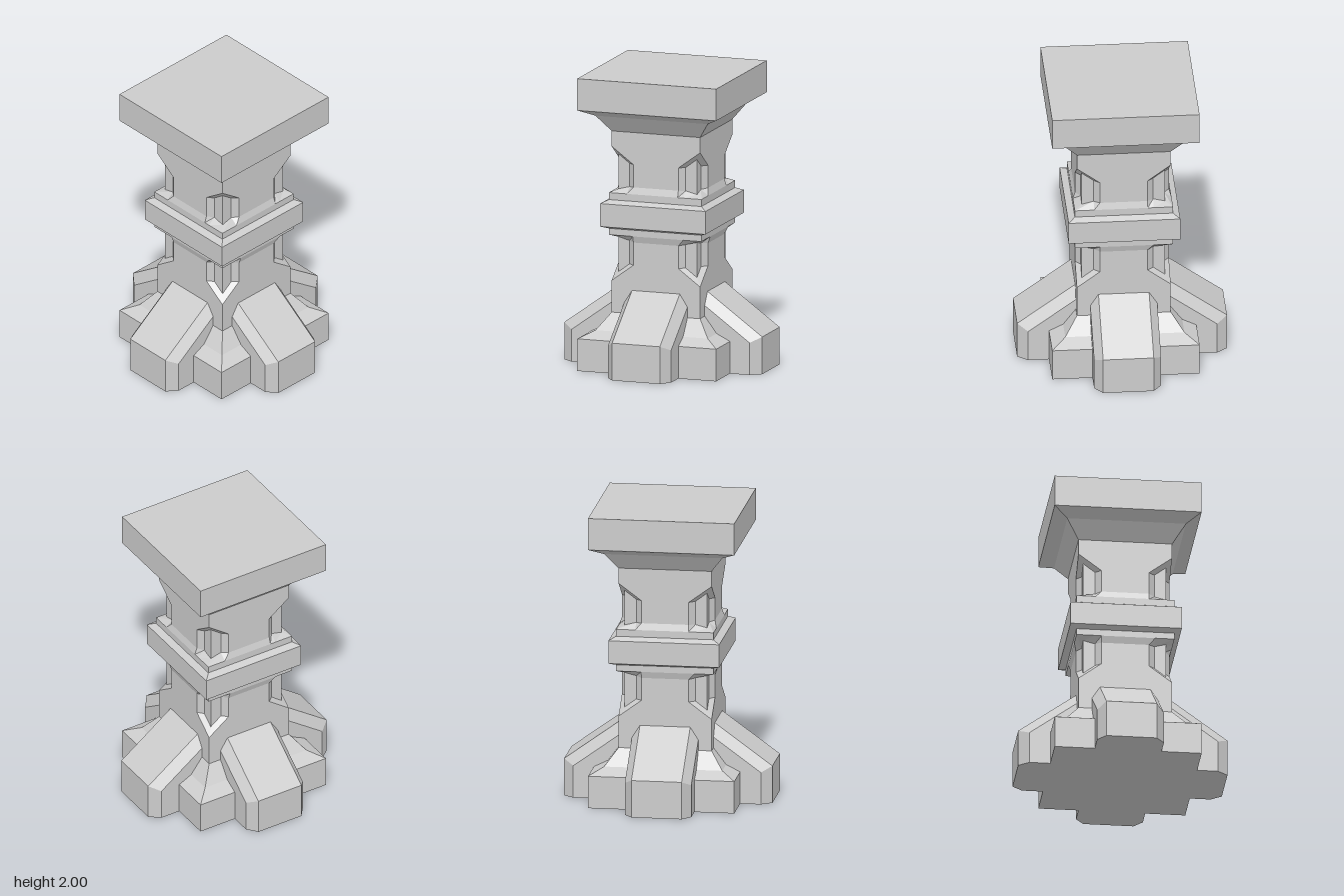
import * as THREE from 'three';
import { ConvexGeometry } from 'three/addons/geometries/ConvexGeometry.js';

const stone = new THREE.MeshStandardMaterial({ color: 0xcccccc, flatShading: true });

function addMesh(parent, geometry, name) {
  const mesh = new THREE.Mesh(geometry, stone);
  mesh.name = name;
  parent.add(mesh);
  return mesh;
}

// Square moulding from a profile of [half width, height], bottom to top
function squareTier(profile) {
  const points = profile.map(([half, y]) => new THREE.Vector2(half * Math.SQRT2, y));
  const geometry = new THREE.LatheGeometry(points, 4).rotateY(Math.PI / 4).toNonIndexed();
  geometry.computeVertexNormals();
  return geometry;
}

// One ring of the shaft: three points [x, y, z] describe half a corner,
// mirrored over the diagonal and turned to all four corners
function shaftRing(half) {
  const mirrored = half.map(([x, y, z]) => [z, y, x]);
  const corner = [...mirrored, ...half.slice(0, 2).reverse()];
  const ring = [];
  for (let q = 0; q < 4; q++) {
    for (const [x, y, z] of corner) {
      const p = new THREE.Vector3(x, y, z);
      for (let i = 0; i < q; i++) p.set(p.z, p.y, -p.x);
      ring.push(p);
    }
  }
  return ring;
}

function loft(rings) {
  const points = [];
  const triangle = (a, b, c) => {
    const area = new THREE.Triangle(a, b, c).getArea();
    if (area > 1e-7) points.push(a, b, c);
  };
  for (let r = 0; r < rings.length - 1; r++) {
    const low = rings[r], high = rings[r + 1], n = low.length;
    for (let i = 0; i < n; i++) {
      const j = (i + 1) % n;
      triangle(low[i], low[j], high[j]);
      triangle(low[i], high[j], high[i]);
    }
  }
  const geometry = new THREE.BufferGeometry().setFromPoints(points);
  geometry.computeVertexNormals();
  return geometry;
}

// Shaft with a pointed pocket cut in each corner, above and below the collar
function shaftGeometry() {
  const plain = (h, y) => [[h, y, 0.16], [h, y, 0.2], [h, y, h]];
  const upper = [
    plain(0.33, 1.155),
    plain(0.33, 1.2),
    [[0.315, 1.245, 0.16], [0.28, 1.24, 0.2], [0.28, 1.22, 0.28]],
    [[0.315, 1.4, 0.16], [0.28, 1.4, 0.2], [0.28, 1.46, 0.28]],
    [[0.315, 1.4, 0.16], [0.315, 1.43, 0.2], [0.315, 1.515, 0.315]],
  ];
  const lower = upper.map((ring) => ring.map(([x, y, z]) => [x, 2.112 - y, z])).reverse();
  const halves = [plain(0.315, 0.3), ...lower, ...upper, plain(0.315, 1.63)];
  return loft(halves.map(shaftRing));
}

// Sloping buttress with chamfered edges, facing +z
function buttressGeometry() {
  const points = [];
  const inner = 0.25, slope = 0.727;
  for (const s of [-1, 1]) {
    const add = (x, y, z) => points.push(new THREE.Vector3(s * x, y, z));
    add(0.17, 0, 0.705);
    add(0.17, 0.255, 0.705);
    add(0.17, 0.255 + slope * (0.705 - inner), inner);
    add(0.225, 0, 0.635);
    add(0.225, 0.22, 0.635);
    add(0.225, 0.22 + slope * (0.635 - inner), inner);
    add(0.225, 0, inner);
  }
  return new ConvexGeometry(points);
}

export function createModel() {
  const model = new THREE.Group();
  model.name = 'stonePillar';

  addMesh(model, squareTier([[0, 0], [0.495, 0], [0.495, 0.22], [0.4, 0.267], [0.315, 0.38]]), 'plinth');
  addMesh(model, shaftGeometry(), 'shaft');
  addMesh(model, squareTier([[0.33, 0.955], [0.375, 0.973], [0.375, 1.13], [0.33, 1.152]]), 'collar');
  addMesh(model, squareTier([[0.315, 1.62], [0.4, 1.735], [0.495, 1.783], [0.495, 2], [0, 2]]), 'capital');

  // Four buttresses around the plinth
  const buttress = buttressGeometry();
  ['front', 'left', 'back', 'right'].forEach((side, i) => {
    addMesh(model, buttress, side + 'Buttress').rotation.y = i * Math.PI / 2;
  });
  return model;
}
